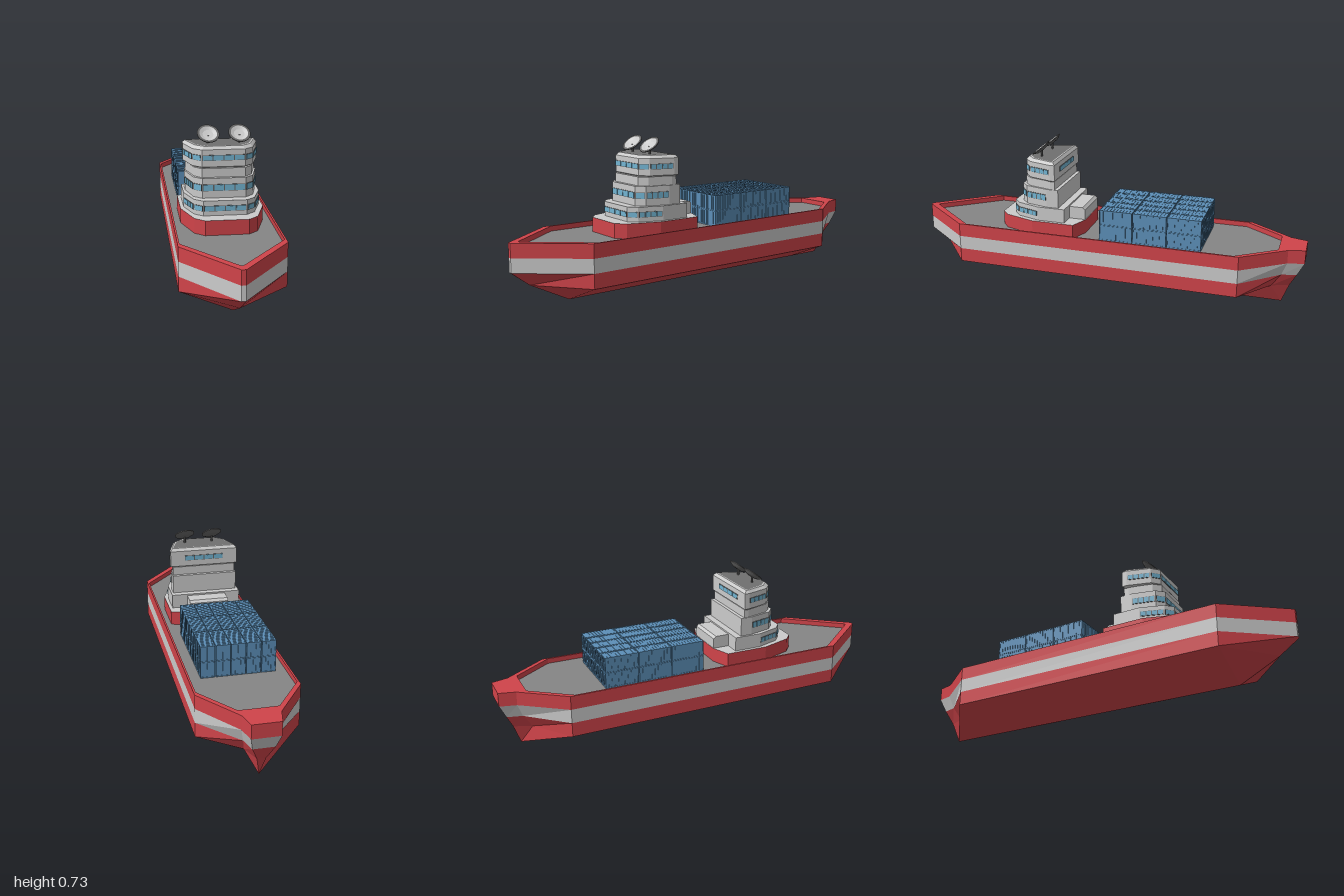
import * as THREE from 'three';
import { mergeGeometries } from 'three/addons/utils/BufferGeometryUtils.js';

const mat = (color) => new THREE.MeshStandardMaterial({ color, flatShading: true });
const RED = mat(0xd0444a), GREY = mat(0xcccccc), DECK = mat(0x858585), ROOF = mat(0x707070);
const BLUE = mat(0x5c8fb8), GLASS = mat(0x72b4d2), DARK = mat(0x666666);

function add(parent, name, geometry, material, x = 0, y = 0, z = 0) {
  const m = new THREE.Mesh(geometry, material);
  m.name = name;
  m.position.set(x, y, z);
  parent.add(m);
  return m;
}

// Half outline [x, z] from bow to stern, mirrored into a closed ring at height y
function ring(half, y) {
  const right = half.map(([x, z]) => [x, y, z]);
  const left = half.map(([x, z]) => [-x, y, z]).reverse();
  return [...right, ...left];
}

// Skin between successive rings, with optional flat caps
function loft(rings, { top = false, bottom = false } = {}) {
  const pos = [];
  const tri = (a, b, c) => pos.push(...a, ...b, ...c);
  const n = rings[0].length;
  for (let k = 0; k + 1 < rings.length; k++) {
    const a = rings[k], b = rings[k + 1];
    for (let i = 0; i < n; i++) {
      const j = (i + 1) % n;
      tri(a[i], a[j], b[j]);
      tri(a[i], b[j], b[i]);
    }
  }
  const last = rings[rings.length - 1];
  for (let i = 1; i + 1 < n; i++) {
    if (top) tri(last[0], last[i], last[i + 1]);
    if (bottom) tri(rings[0][0], rings[0][i + 1], rings[0][i]);
  }
  const g = new THREE.BufferGeometry();
  g.setAttribute('position', new THREE.Float32BufferAttribute(pos, 3));
  g.computeVertexNormals();
  return g;
}

function buildHull(parent) {
  const sides = [[0.237, 0.715], [0.237, -0.71]];
  const full = [[0.01, 1], ...sides, [0.085, -0.92], [0.065, -1]];
  const keel = ring([[0, 0.715], [0, 0.715], [0, -0.71], [0, -0.9], [0, -0.9]], 0);
  const chine = ring([[0, 0.91], ...sides, [0.055, -0.85], [0.02, -0.935]], 0.1);
  const low = ring([[0.01, 1], ...sides, [0.07, -0.895], [0.05, -0.968]], 0.17);
  const mid = ring(full, 0.238);
  const rim = ring(full, 0.305);
  const inner = [[0.005, 0.955], [0.228, 0.68], [0.228, -0.685], [0.09, -0.874], [0.06, -0.875]];
  const innerTop = ring(inner, 0.305), innerLow = ring(inner, 0.28);
  add(parent, 'lowerHull', loft([keel, chine, low]), RED);
  add(parent, 'hullStripe', loft([low, mid]), GREY);
  add(parent, 'bulwark', loft([mid, rim, innerTop, innerLow]), RED);
  add(parent, 'deck', loft([innerLow], { top: true }), DECK);
}

// Row of n panes with a dark band behind, along the wall from a to b ([x, z])
function windowRow(parent, a, b, y, h, n) {
  const dx = b[0] - a[0], dz = b[1] - a[1], len = Math.hypot(dx, dz);
  const row = new THREE.Group();
  row.name = 'windowRow';
  row.position.set((a[0] + b[0]) / 2, y, (a[1] + b[1]) / 2);
  row.rotation.y = Math.atan2(-dz, dx);
  add(row, 'windowFrame', new THREE.BoxGeometry(len, h + 0.004, 0.005), DARK);
  const step = len / n;
  for (let i = 0; i < n; i++) {
    add(row, 'windowPane', new THREE.BoxGeometry(step - 0.005, h, 0.008), GLASS, (i + 0.5) * step - len / 2);
  }
  parent.add(row);
}

// Half plan of a cabin tier: front, bevelled corner, slanted flank, back
const tierPlan = (hw, knee, front, back, grow = 0) => [
  [0.1 + grow, front + grow], [knee + grow, front - 0.035 + grow],
  [hw + grow, Math.max(front - 0.15, back + 0.02)], [hw + grow, back - grow],
];

function buildHouse(parent) {
  const house = new THREE.Group();
  house.name = 'deckhouse';
  parent.add(house);

  // Red plinth with a pale top, and a small locker at its back
  const plinth = [[0.1, 0.525], [0.145, 0.485], [0.195, 0.33], [0.195, 0.115], [0.1, 0.08]];
  add(house, 'plinth', loft([ring(plinth, 0.28), ring(plinth, 0.35)]), RED);
  add(house, 'plinthTop', loft([ring(plinth, 0.35)], { top: true }), GREY);
  const locker = [[0.1, 0.165], [0.1, 0.082]];
  const lockerTop = [[0.1, 0.165], [0.1, 0.095]];
  add(house, 'rearLocker', loft([ring(locker, 0.35), ring(locker, 0.4), ring(lockerTop, 0.412)], { top: true }), GREY);

  const tiers = [
    { name: 'lowerTier', hw: 0.178, knee: 0.14, front: 0.455, back: 0.165, y0: 0.35, y1: 0.42, win: 0.384 },
    { name: 'middleTier', hw: 0.167, knee: 0.138, front: 0.41, back: 0.2, y0: 0.42, y1: 0.513, win: 0.469, h: 0.027 },
    { name: 'neck', hw: 0.163, knee: 0.133, front: 0.392, back: 0.218, y0: 0.513, y1: 0.555 },
    { name: 'bridge', hw: 0.175, knee: 0.14, front: 0.388, back: 0.213, y0: 0.55, y1: 0.655, win: 0.603, bevel: true },
  ];
  for (const t of tiers) {
    const plan = (grow = 0) => tierPlan(t.hw, t.knee, t.front, t.back, grow);
    const rings = t.bevel
      ? [ring(plan(-0.016), t.y0), ring(plan(), t.y0 + 0.011), ring(plan(), t.y1 - 0.014), ring(plan(-0.012), t.y1)]
      : [ring(plan(), t.y0), ring(plan(), t.y1)];
    add(house, t.name, loft(rings, { top: true, bottom: true }), GREY);
    if (!t.win) continue;
    const h = t.h || 0.022, p = plan();
    windowRow(house, [-0.097, t.front], [0.097, t.front], t.win, h, 4);
    for (const s of [-1, 1]) {
      const at = (i, j, f) => [s * (p[i][0] + (p[j][0] - p[i][0]) * f), p[i][1] + (p[j][1] - p[i][1]) * f];
      windowRow(house, at(0, 1, 0.06), at(0, 1, 0.94), t.win, h, 1);
      windowRow(house, at(1, 2, 0.04), at(1, 2, 0.96), t.win, h, 4);
    }
    if (t.bevel) windowRow(house, [-0.1, t.back], [0.1, t.back], t.win, h, 4);
  }
  add(house, 'roof', loft([ring(tierPlan(0.175, 0.14, 0.388, 0.213, -0.018), 0.656)], { top: true }), ROOF);

  // Dish antennas leaning forward
  for (const x of [-0.063, 0.082]) {
    add(house, 'dishStalk', new THREE.CylinderGeometry(0.006, 0.006, 0.04, 8), DARK, x, 0.672, 0.313);
    const dish = new THREE.Group();
    dish.name = 'dishAntenna';
    dish.position.set(x, 0.697, 0.313);
    dish.rotation.set(0.68, 0, -0.08);
    const profile = [[0, -0.012], [0.03, -0.009], [0.052, 0.002], [0.052, 0.006], [0.041, 0.006], [0.025, -0.001], [0, -0.003]];
    const pts = profile.map(([r, y]) => new THREE.Vector2(r, y));
    add(dish, 'dishShell', new THREE.LatheGeometry(pts.slice(0, 5), 24), DARK);
    add(dish, 'dishBowl', new THREE.LatheGeometry(pts.slice(4), 24), GREY);
    house.add(dish);
  }
}

// One ribbed container: core, hoops along its length and bars on both ends
function containerGeometry(w, h, l) {
  const box = (a, b, c, x = 0, y = 0, z = 0) => new THREE.BoxGeometry(a, b, c).translate(x, y, z);
  const parts = [box(w - 0.004, h - 0.004, l - 0.004)];
  const hoops = 11;
  for (let i = 0; i < hoops; i++) {
    const z = (i / (hoops - 1) - 0.5) * (l - 0.006);
    if (i > 0 && i < hoops - 1) parts.push(box(w - 0.001, h - 0.001, 0.006, 0, 0, z));
  }
  for (const s of [-1, 1]) {
    const z = s * (l / 2 - 0.002);
    for (const x of [-0.5, -0.2, 0, 0.2, 0.5]) parts.push(box(0.005, h, 0.004, x * (w - 0.005), 0, z));
    for (const y of [-1, 1]) {
      parts.push(box(w, 0.005, 0.004, 0, y * (h / 2 - 0.0025), z));
      parts.push(box(0.005, 0.005, l, s * (w / 2 - 0.0025), y * (h / 2 - 0.0025), 0));
    }
  }
  return mergeGeometries(parts);
}

function buildCargo(parent) {
  const cargo = new THREE.Group();
  cargo.name = 'cargo';
  const geo = containerGeometry(0.067, 0.077, 0.166);
  for (let c = 0; c < 5; c++) for (let r = 0; r < 3; r++) for (let k = 0; k < 2; k++) {
    add(cargo, 'container', geo, BLUE, -0.004 + (c - 2) * 0.071, 0.319 + k * 0.078, -0.267 + (r - 1) * 0.17);
  }
  parent.add(cargo);
}

export function createModel() {
  const ship = new THREE.Group();
  ship.name = 'cargoShip';
  buildHull(ship);
  buildHouse(ship);
  buildCargo(ship);
  return ship;
}
